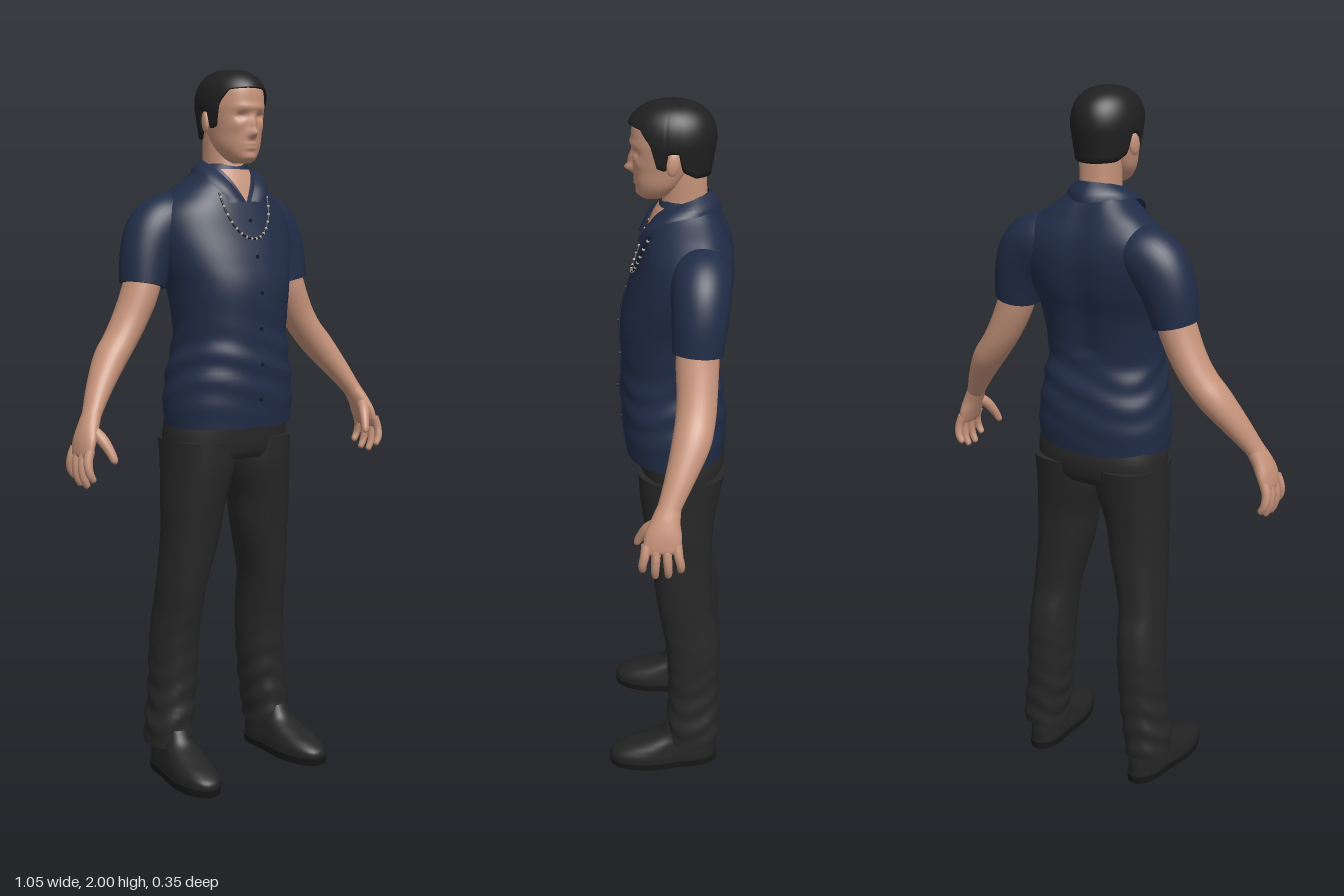
import * as THREE from 'three';

const mat = (name, color, side = THREE.FrontSide) => {
  const m = new THREE.MeshStandardMaterial({ color, side });
  m.name = name;
  return m;
};

// Smooth interpolation through rows of numbers
function refine(rows, steps) {
  const out = [], at = i => rows[Math.max(0, Math.min(rows.length - 1, i))];
  for (let i = 0; i < rows.length - 1; i++)
    for (let k = 0; k < steps; k++) {
      const t = k / steps;
      out.push(rows[i].map((p1, c) => {
        const p0 = at(i - 1)[c], p2 = at(i + 1)[c], p3 = at(i + 2)[c];
        return p1 + 0.5 * t * (p2 - p0 + t * (2 * p0 - 5 * p1 + 4 * p2 - p3 + t * (3 * (p1 - p2) + p3 - p0)));
      }));
    }
  out.push(rows[rows.length - 1]);
  return out;
}

// Skin a list of closed rings of Vector3, with flat end caps
function skin(rings, caps = true) {
  const n = rings[0].length, pos = [], idx = [];
  rings.forEach(r => r.forEach(p => pos.push(p.x, p.y, p.z)));
  for (let i = 0; i < rings.length - 1; i++)
    for (let j = 0; j < n; j++) {
      const k = (j + 1) % n, a = i * n + j, b = i * n + k;
      idx.push(a, a + n, b, b, a + n, b + n);
    }
  if (caps) [rings[0], rings[rings.length - 1]].forEach((r, e) => {
    const c = new THREE.Vector3(), base = pos.length / 3;
    r.forEach(p => { c.addScaledVector(p, 1 / n); pos.push(p.x, p.y, p.z); });
    pos.push(c.x, c.y, c.z);
    for (let j = 0; j < n; j++) {
      const a = base + j, b = base + (j + 1) % n;
      idx.push(base + n, e ? b : a, e ? a : b);
    }
  });
  const g = new THREE.BufferGeometry();
  g.setAttribute('position', new THREE.Float32BufferAttribute(pos, 3));
  g.setIndex(idx);
  g.computeVertexNormals();
  return g;
}

// Upright form. Row: y, centre x, widest z, half width, front z, back z
function stack(rows, n = 48, steps = 6, shape = null) {
  return skin(refine(rows, steps).map(([y, cx, zc, rx, f, b]) =>
    Array.from({ length: n }, (_, j) => {
      const a = j / n * Math.PI * 2, s = Math.sin(a), c = Math.cos(a);
      const x = Math.sign(c) * Math.abs(c) ** 0.85 * rx;
      const z = s > 0 ? s * (f - zc) : -(Math.abs(s) ** 0.85) * (zc - b);
      const p = new THREE.Vector3(cx + x, y, zc + z);
      if (shape) shape(p, a);
      return p;
    })));
}

// Limb along a path. Row: x, y, z, half width, half depth
function limb(rows, n = 24, steps = 6) {
  const r = refine(rows, steps), P = r.map(q => new THREE.Vector3(q[0], q[1], q[2]));
  return skin(r.map((q, i) => {
    const t = P[Math.min(i + 1, P.length - 1)].clone().sub(P[Math.max(i - 1, 0)]).normalize();
    const a = t.clone().cross(new THREE.Vector3(0, 0, 1)).normalize(), b = a.clone().cross(t);
    return Array.from({ length: n }, (_, j) => {
      const w = j / n * Math.PI * 2;
      return P[i].clone().addScaledVector(a, Math.cos(w) * q[3]).addScaledVector(b, Math.sin(w) * q[4]);
    });
  }));
}

// Open sheet between edges: fn(u, v) gives a point
function sheet(fn, nu, nv) {
  const g = new THREE.PlaneGeometry(1, 1, nu, nv), p = g.attributes.position;
  for (let i = 0; i < p.count; i++) p.setXYZ(i, ...fn(p.getX(i) + 0.5, p.getY(i) + 0.5).toArray());
  g.computeVertexNormals();
  return g;
}

function mirrored(g) {
  const m = g.clone(), ix = m.index.array;
  m.scale(-1, 1, 1);
  for (let i = 0; i < ix.length; i += 3) [ix[i], ix[i + 1]] = [ix[i + 1], ix[i]];
  m.computeVertexNormals();
  return m;
}

export function createModel() {
  const root = new THREE.Group();
  root.name = 'standingMan';
  const flesh = mat('skin', 0xc6937a), navy = mat('navyCloth', 0x212d47, THREE.DoubleSide);
  const cloth = mat('trouserCloth', 0x272727), dark = mat('hairBlack', 0x202020, THREE.DoubleSide);
  const leather = mat('shoeLeather', 0x242424), sole = mat('soleRubber', 0x181818);
  const silver = mat('silver', 0xb5ada0), button = mat('buttonBlack', 0x141821);
  const add = (name, g, m) => {
    const o = new THREE.Mesh(g, m);
    o.name = name;
    root.add(o);
    return o;
  };
  const pair = (name, g, m) => { add(name + 'Left', g, m); add(name + 'Right', mirrored(g), m); };
  const V = (x, y, z) => new THREE.Vector3(x, y, z);

  // Shirt body with soft folds at the waist
  const shirt = add('shirtBody', stack([
    [1.02, 0, -0.02, 0.192, 0.122, -0.155], [1.1, 0, -0.02, 0.195, 0.13, -0.16],
    [1.2, 0, -0.02, 0.18, 0.133, -0.148], [1.28, 0, -0.02, 0.168, 0.13, -0.128],
    [1.4, 0, -0.03, 0.182, 0.133, -0.142], [1.48, 0, -0.05, 0.205, 0.115, -0.165],
    [1.56, 0, -0.07, 0.22, 0.088, -0.176], [1.62, 0, -0.08, 0.208, 0.07, -0.17],
    [1.67, 0, -0.075, 0.155, 0.053, -0.15], [1.71, 0, -0.06, 0.1, 0.036, -0.13],
    [1.745, 0, -0.05, 0.062, 0.014, -0.105]], 72, 8, (p, a) => {
    const w = Math.exp(-(((p.y - 1.19) / 0.1) ** 2)) * 0.0035 * Math.sin(p.y * 80 + 3 * Math.sin(2 * a));
    p.x += w * Math.cos(a);
    p.z += w * Math.sin(a);
    if (p.z < -0.1 && p.y > 1.3) p.z += 0.01 * Math.exp(-((p.x / 0.04) ** 2));
  }), navy);

  // Points lying on the front of the shirt
  const ray = new THREE.Raycaster();
  shirt.updateMatrixWorld();
  const onShirt = (x, y, off) => {
    ray.set(V(x, y, 1), V(0, 0, -1));
    const h = ray.intersectObject(shirt)[0];
    return V(x, y, (h ? h.point.z : 0) + off);
  };
  add('openNeckSkin', sheet((u, v) => onShirt((u - 0.5) * 0.1 * v, 1.64 + v * 0.09, 0.003), 8, 10), flesh);
  add('buttonPlacket', sheet((u, v) => onShirt((u - 0.5) * 0.034, 1.025 + v * 0.61, 0.004), 2, 50), navy);
  for (let i = 0; i < 6; i++) {
    const b = add('shirtButton', new THREE.CylinderGeometry(0.005, 0.005, 0.004, 12).rotateX(Math.PI / 2), button);
    b.position.copy(onShirt(0, 1.1 + i * 0.098, 0.005));
  }

  // Collar: a folded leaf around the neck
  const half = (pts) => new THREE.CatmullRomCurve3([...pts.slice(1).reverse().map(p => V(-p[0], p[1], p[2])), ...pts.map(p => V(...p))]);
  const top = half([[0, 1.765, -0.105], [0.055, 1.757, -0.065], [0.06, 1.735, -0.005], [0.04, 1.69, 0.05], [0.01, 1.642, 0.074]]);
  const low = half([[0, 1.715, -0.138], [0.085, 1.722, -0.08], [0.102, 1.71, 0.0], [0.085, 1.675, 0.05], [0.06, 1.638, 0.074]]);
  add('collar', sheet((u, v) => {
    const p = low.getPoint(u).lerp(top.getPoint(u), v), bulge = 0.008 * Math.sin(v * Math.PI);
    return p.add(V(p.x, 0, p.z + 0.04).normalize().multiplyScalar(bulge));
  }, 48, 5), navy);

  // Beaded necklace resting on the chest
  const chain = Array.from({ length: 33 }, (_, i) => {
    const a = (i / 32 - 0.5) * Math.PI;
    return onShirt(0.08 * Math.sin(a), 1.665 - 0.125 * Math.cos(a), 0.006);
  });
  add('necklaceCord', new THREE.TubeGeometry(new THREE.CatmullRomCurve3(chain), 64, 0.003, 6), button);
  chain.forEach((p, i) => {
    if (i % 2) add('necklaceBead', new THREE.SphereGeometry(0.0045, 8, 6), silver).position.copy(p);
  });

  // Sleeves and arms
  pair('sleeve', limb([[0.1, 1.6, -0.08, 0.05, 0.06], [0.155, 1.592, -0.084, 0.076, 0.078], [0.2, 1.56, -0.085, 0.083, 0.078],
    [0.232, 1.5, -0.083, 0.075, 0.073], [0.251, 1.415, -0.077, 0.063, 0.066]], 36), navy);
  pair('arm', limb([[0.235, 1.47, -0.08, 0.05, 0.056], [0.262, 1.39, -0.077, 0.05, 0.056], [0.295, 1.32, -0.077, 0.047, 0.053],
    [0.33, 1.265, -0.073, 0.044, 0.052], [0.37, 1.215, -0.062, 0.043, 0.05], [0.42, 1.145, -0.035, 0.034, 0.039],
    [0.458, 1.085, -0.01, 0.025, 0.031], [0.475, 1.055, 0, 0.024, 0.032]], 28), flesh);

  // Hands
  pair('palm', limb([[0.458, 1.085, -0.01, 0.024, 0.03], [0.477, 1.05, 0, 0.024, 0.038], [0.492, 1.015, 0.006, 0.022, 0.048],
    [0.503, 0.98, 0.01, 0.016, 0.048], [0.506, 0.97, 0.01, 0.008, 0.042]], 24), flesh);
  [[0.05, 0.912], [0.024, 0.892], [-0.003, 0.894], [-0.029, 0.912]].forEach(([z, tip], i) => {
    const d = (z - 0.01) * 0.25, y = t => 0.995 + (tip - 0.995) * t;
    pair('finger' + (i + 1), limb([[0.501, y(0), z, 0.013, 0.013], [0.511, y(0.35), z + d * 0.4, 0.0125, 0.012],
      [0.51, y(0.7), z + d, 0.011, 0.011], [0.499, y(0.95), z + d, 0.009, 0.009], [0.496, y(1), z + d, 0.003, 0.003]], 12, 4), flesh);
  });
  pair('thumb', limb([[0.475, 1.045, 0.02, 0.014, 0.016], [0.462, 1.02, 0.046, 0.016, 0.015], [0.45, 0.99, 0.065, 0.013, 0.012],
    [0.443, 0.965, 0.076, 0.01, 0.009], [0.442, 0.957, 0.078, 0.003, 0.003]], 14, 5), flesh);

  // Trousers
  add('trouserHips', stack([[0.925, 0, -0.03, 0.185, 0.07, -0.135], [0.95, 0, -0.03, 0.195, 0.083, -0.15],
    [1.0, 0, -0.03, 0.195, 0.088, -0.158], [1.06, 0, -0.03, 0.185, 0.09, -0.145]], 48), cloth);
  pair('trouserLeg', stack([[0.085, 0.18, -0.07, 0.06, 0.0, -0.148], [0.13, 0.178, -0.07, 0.063, 0.004, -0.15],
    [0.25, 0.163, -0.07, 0.064, -0.002, -0.15], [0.4, 0.155, -0.07, 0.065, 0.005, -0.152], [0.48, 0.15, -0.06, 0.063, 0.018, -0.145],
    [0.56, 0.145, -0.05, 0.066, 0.032, -0.128], [0.7, 0.124, -0.03, 0.079, 0.05, -0.125], [0.8, 0.116, -0.03, 0.086, 0.065, -0.128],
    [0.9, 0.1, -0.03, 0.098, 0.08, -0.143], [0.98, 0.1, -0.03, 0.096, 0.085, -0.158]], 40, 8, (p, a) => {
    const w = Math.exp(-(((p.y - 0.2) / 0.15) ** 2)) * 0.0035 * Math.sin(p.y * 85 + 2 * Math.sin(a * 2 + 1));
    p.x += w * Math.cos(a);
    p.z += w * Math.sin(a);
  }), cloth);

  // Shoes, toes turned out a little
  const place = g => g.rotateY(0.08).translate(0.183, 0, 0);
  const waist = p => { p.x *= 1 - 0.14 * Math.exp(-(((p.z + 0.03) / 0.05) ** 2)); };
  pair('shoeUpper', place(stack([[0.018, 0, 0.05, 0.06, 0.175, -0.145], [0.04, 0, 0.05, 0.06, 0.172, -0.145],
    [0.06, 0, 0.03, 0.056, 0.14, -0.145], [0.08, 0, 0, 0.052, 0.085, -0.143], [0.105, 0, -0.04, 0.048, 0.03, -0.138],
    [0.14, 0, -0.06, 0.044, 0.005, -0.13]], 40, 6, waist)), leather);
  pair('shoeSole', place(stack([[0, 0, 0.05, 0.061, 0.176, -0.148], [0.022, 0, 0.05, 0.064, 0.181, -0.15]], 40, 2, waist)), sole);

  // Neck and head, with the face pushed out and in by soft bumps
  add('neck', stack([[1.62, 0, -0.04, 0.058, 0.05, -0.1], [1.68, 0, -0.04, 0.056, 0.04, -0.105],
    [1.75, 0, -0.04, 0.054, 0.016, -0.1], [1.84, 0, -0.04, 0.056, 0.012, -0.095]], 32), flesh);
  // Bump: x, y, spread x, spread y, height
  const bumps = [[0, 1.824, 0.011, 0.011, 0.021], [0, 1.848, 0.008, 0.022, 0.013], [0, 1.894, 0.05, 0.009, 0.005],
    [0.031, 1.871, 0.014, 0.009, -0.011], [-0.031, 1.871, 0.014, 0.009, -0.011], [0, 1.796, 0.018, 0.004, 0.005],
    [0, 1.785, 0.016, 0.004, 0.006], [0, 1.76, 0.02, 0.01, 0.005], [0.045, 1.845, 0.015, 0.014, 0.004], [-0.045, 1.845, 0.015, 0.014, 0.004]];
  add('head', stack([[1.746, 0, 0.045, 0.022, 0.07, 0.015], [1.76, 0, 0.035, 0.042, 0.082, -0.005], [1.79, 0, 0.015, 0.062, 0.088, -0.03],
    [1.83, 0, 0, 0.071, 0.092, -0.06], [1.87, 0, 0, 0.077, 0.094, -0.085], [1.91, 0, -0.01, 0.081, 0.097, -0.1],
    [1.95, 0, -0.01, 0.076, 0.09, -0.1], [1.975, 0, -0.01, 0.055, 0.06, -0.07], [1.985, 0, -0.01, 0.03, 0.03, -0.04]], 96, 8, p => {
    if (p.z > 0.03) for (const [x, y, sx, sy, h] of bumps)
      p.z += h * Math.exp(-(((p.x - x) / sx) ** 2) - ((p.y - y) / sy) ** 2);
  }), flesh);
  pair('ear', new THREE.SphereGeometry(1, 16, 12).scale(0.009, 0.03, 0.018).rotateX(-0.15).rotateY(0.3).translate(0.083, 1.857, -0.012), flesh);

  // Short hair: a cap whose lower edge follows the hairline (depth, height)
  const line = [[-1, 1.812], [-0.6, 1.816], [-0.28, 1.835], [-0.16, 1.885], [0.1, 1.885], [0.16, 1.838],
    [0.36, 1.845], [0.46, 1.905], [0.7, 1.94], [1, 1.945]];
  const hairline = s => {
    const i = Math.max(1, line.findIndex(q => q[0] >= s - 1e-6)), [a, b] = [line[i - 1], line[i]];
    return a[1] + (b[1] - a[1]) * (s - a[0]) / (b[0] - a[0]);
  };
  const hairRing = (t, shrink) => Array.from({ length: 120 }, (_, j) => {
    const a = j / 120 * Math.PI * 2, s = Math.sin(a), low = hairline(s);
    const y = low + (2 - low) * (1 - (1 - t) ** 2);
    const k = shrink * (y > 1.9 ? Math.max(0, 1 - ((y - 1.9) / 0.1) ** 2.4) ** (1 / 2.4) : 1 - 1.5 * (1.9 - y));
    return V(Math.cos(a) * 0.091 * k, y, -0.01 + s * (s > 0 ? 0.122 : 0.113) * k);
  });
  add('hair', skin([hairRing(0, 0.86), ...Array.from({ length: 25 }, (_, i) => hairRing(i / 24, 1))], false), dark);

  return root;
}
